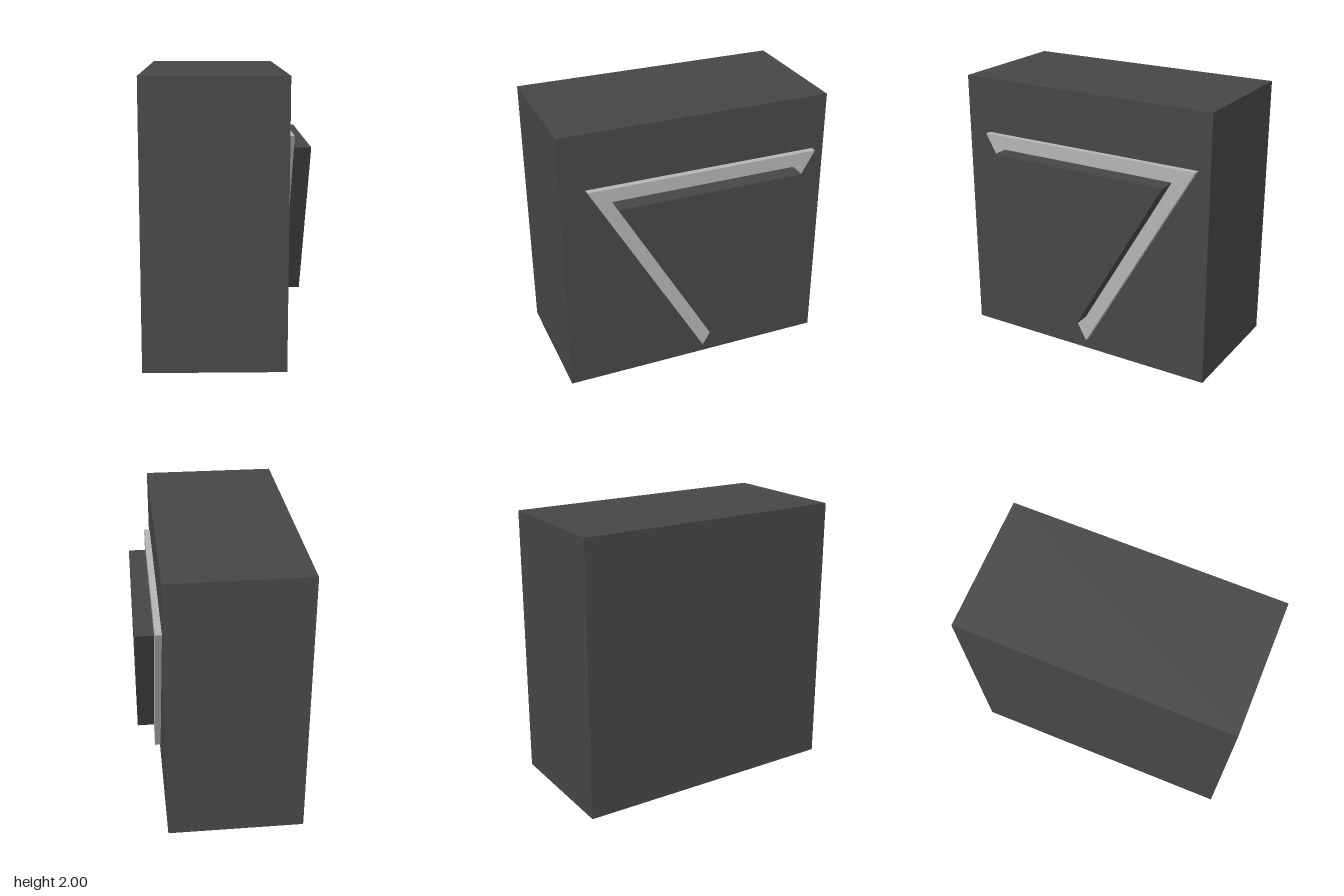
import * as THREE from 'three';

// Downward-pointing triangular plate on the +x side, spanning x0..x1
function trianglePlate(name, material, [zFront, zBack, zTip], yTop, yTip, x0, x1) {
  const shape = new THREE.Shape([
    new THREE.Vector2(-zTip, yTip),
    new THREE.Vector2(-zBack, yTop),
    new THREE.Vector2(-zFront, yTop),
  ]);
  const geometry = new THREE.ExtrudeGeometry(shape, { depth: x1 - x0, bevelEnabled: false });
  geometry.rotateY(Math.PI / 2); // extrude along +x
  geometry.translate(x0, 0, 0);
  const mesh = new THREE.Mesh(geometry, material);
  mesh.name = name;
  return mesh;
}

export function createModel() {
  const dark = new THREE.MeshStandardMaterial({ color: 0x464646 });
  dark.name = 'dark grey';
  const light = new THREE.MeshStandardMaterial({ color: 0xb4b4b4 });
  light.name = 'light grey';

  const model = new THREE.Group();
  model.name = 'triangleButtonBlock';

  // Main block
  const block = new THREE.Mesh(new THREE.BoxGeometry(0.985, 2, 2), dark);
  block.name = 'block';
  block.position.set(-0.0875, 1, 0);
  model.add(block);

  // Pale backing plate and the raised dark triangle on it
  model.add(trianglePlate('backingPlate', light, [0.82, -0.91, -0.043], 1.59, 0.09, 0.405, 0.45));
  model.add(trianglePlate('raisedTriangle', dark, [0.65, -0.737, -0.043], 1.49, 0.29, 0.45, 0.58));

  return model;
}
